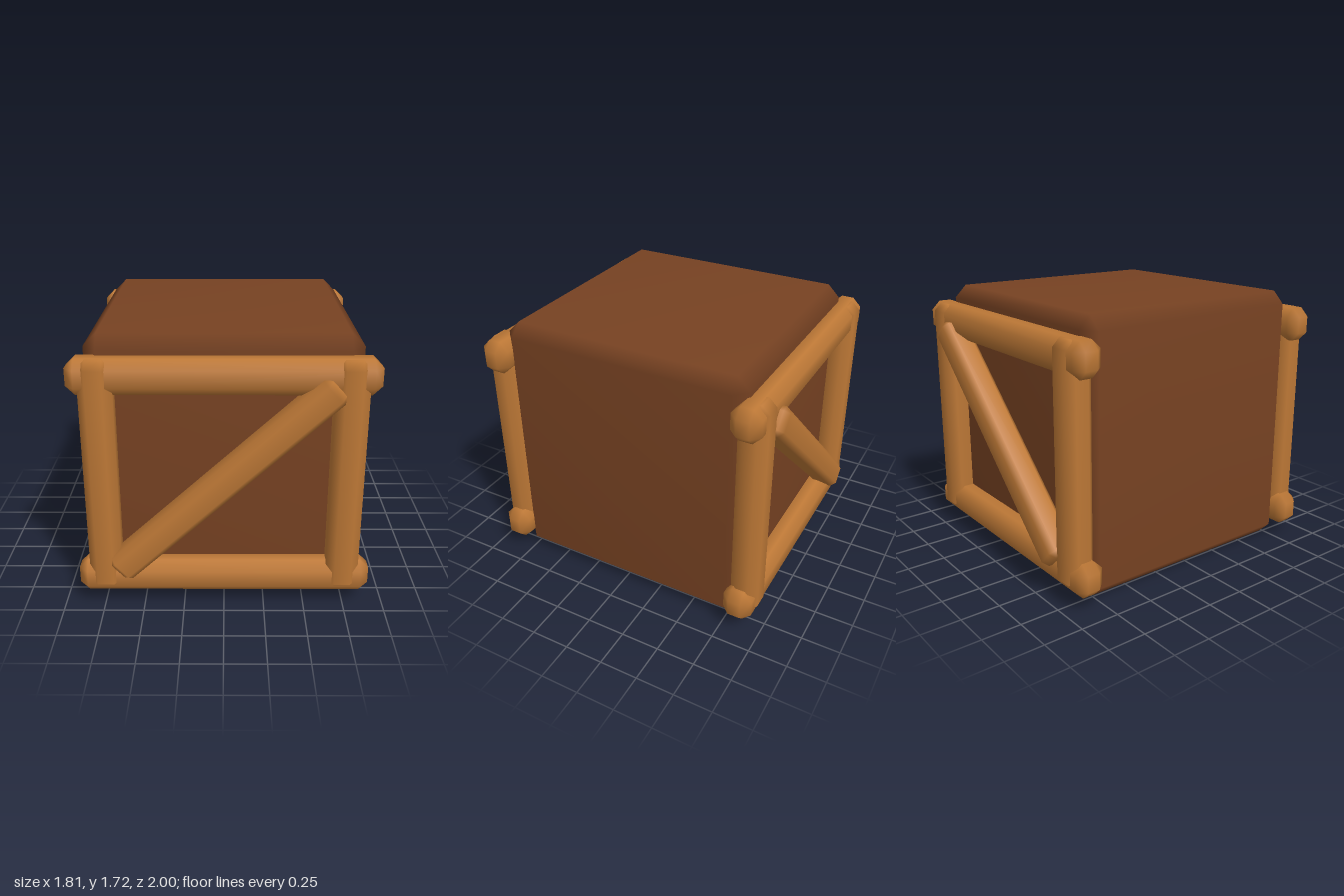
import * as THREE from 'three';
import { ConvexGeometry } from 'three/addons/geometries/ConvexGeometry.js';

// Box with single 45 degree bevels and smooth, area-weighted normals
function bevelBox(w, h, d, b) {
  const half = [w / 2, h / 2, d / 2];
  const points = [];
  for (let k = 0; k < 3; k++)
    for (const sx of [-1, 1]) for (const sy of [-1, 1]) for (const sz of [-1, 1]) {
      const s = [sx, sy, sz];
      points.push(new THREE.Vector3(...half.map((v, i) => s[i] * (i === k ? v : v - b))));
    }
  const geo = new ConvexGeometry(points);
  const pos = geo.attributes.position, nor = geo.attributes.normal;
  const n = new THREE.Vector3();
  for (let v = 0; v < pos.count; v++) {
    const p = [pos.getX(v), pos.getY(v), pos.getZ(v)];
    const k = p.findIndex((c, i) => Math.abs(c) > half[i] - b / 2);
    const i = (k + 1) % 3, j = (k + 2) % 3;
    const a = half[i] - b, c = half[j] - b;
    const out = [0, 0, 0];
    out[k] = 4 * a * c + 2 * b * (a + c);
    out[i] = 2 * b * c;
    out[j] = 2 * b * a;
    n.set(...out.map((q, m) => q * Math.sign(p[m]))).normalize();
    nor.setXYZ(v, n.x, n.y, n.z);
  }
  return geo;
}

export function createModel() {
  const model = new THREE.Group();
  model.name = 'crate';
  const darkWood = new THREE.MeshStandardMaterial({ color: 0x774222 });
  darkWood.name = 'dark wood';
  const lightWood = new THREE.MeshStandardMaterial({ color: 0xbd7836 });
  lightWood.name = 'light wood';

  const add = (parent, name, geo, mat, x, y, z) => {
    const mesh = new THREE.Mesh(geo, mat);
    mesh.name = name;
    mesh.position.set(x, y, z);
    parent.add(mesh);
    return mesh;
  };

  // Solid body
  add(model, 'body', bevelBox(1.635, 1.72, 1.635, 0.08), darkWood, 0, 0.86, 0);

  const railGeo = bevelBox(1.81, 0.215, 0.19, 0.055);
  const postGeo = bevelBox(0.2, 1.495, 0.185, 0.05);
  const braceGeo = bevelBox(1.77, 0.185, 0.18, 0.035);

  // Same frame on the front and back
  for (const side of [1, -1]) {
    const frame = new THREE.Group();
    frame.name = side > 0 ? 'frontFrame' : 'backFrame';
    model.add(frame);
    add(frame, 'bottomRail', railGeo, lightWood, 0, 0.19, side * 0.847);
    add(frame, 'topRail', railGeo, lightWood, 0, 1.503, side * 0.847);
    add(frame, 'leftPost', postGeo, lightWood, 0.735, 0.86, side * 0.863);
    add(frame, 'rightPost', postGeo, lightWood, -0.735, 0.86, side * 0.863);
    const brace = add(frame, 'diagonalBrace', braceGeo, lightWood, 0, 0.86, side * 0.91);
    brace.rotation.z = THREE.MathUtils.degToRad(42.7);
  }
  return model;
}
